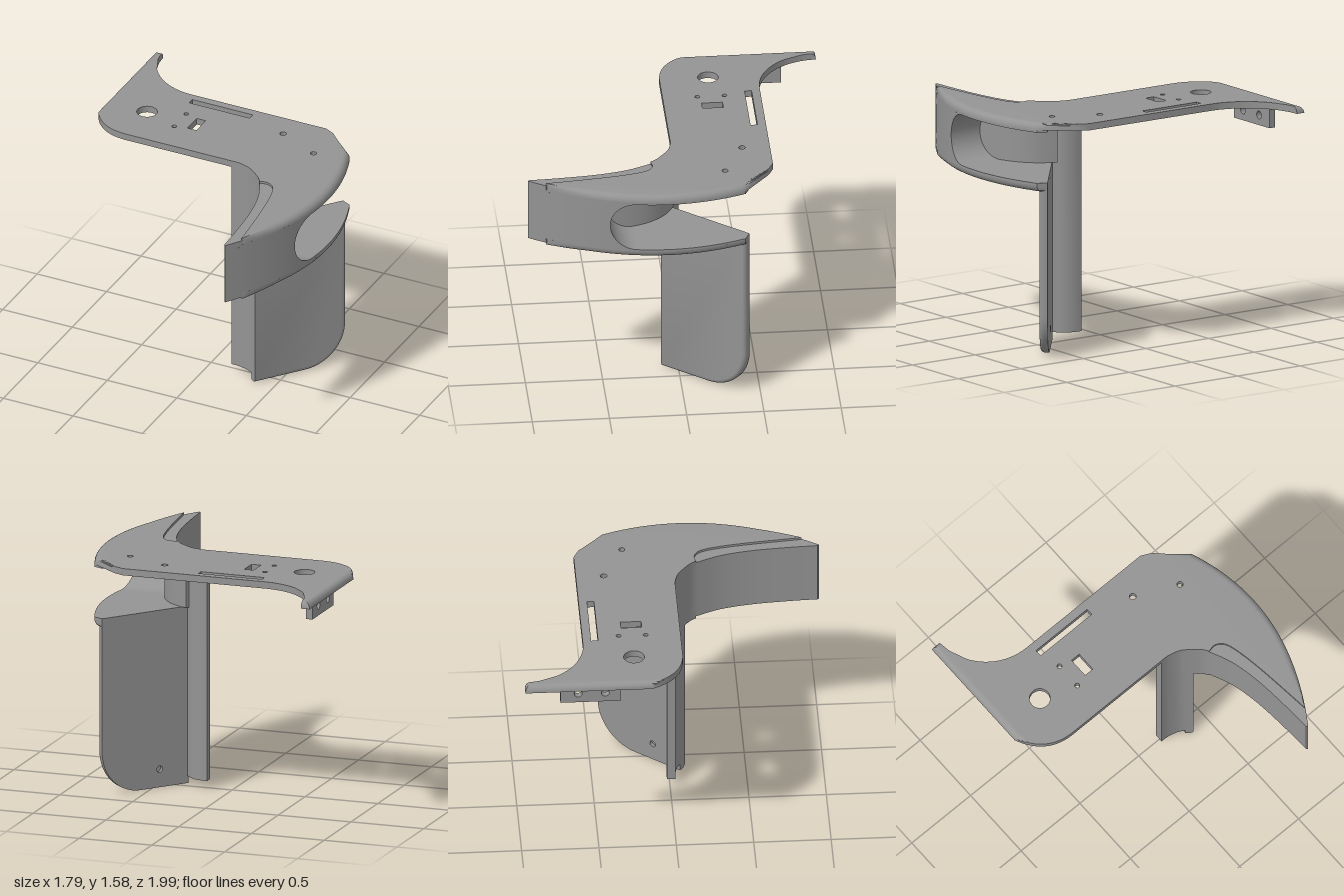
import * as THREE from 'three';
import { toCreasedNormals } from 'three/addons/utils/BufferGeometryUtils.js';

const grey = new THREE.MeshStandardMaterial({ color: 0x949494, side: THREE.DoubleSide });
grey.name = 'grey plastic';

const V = (x, z) => new THREE.Vector2(x, z);
const spline = (pts, n) => new THREE.SplineCurve(pts.map(p => V(...p))).getPoints(n);

// Plan curves, as x and z
const outerX = z => 0.895 - 0.385 * (z - 0.1) ** 2;
const outerCurve = (z0, z1, n = 40) =>
  Array.from({ length: n + 1 }, (_, i) => {
    const z = z0 + (z1 - z0) * i / n;
    return V(outerX(z), z);
  });
const postFront = spline([[0.165, 0.035], [0.22, 0.037], [0.3, 0.06], [0.37, 0.11]], 10);
const postToHorn = spline([[0.37, 0.11], [0.41, 0.145], [0.44, 0.185]], 4);
const hornInner = spline([[0.44, 0.185], [0.508, 0.345], [0.55, 0.55], [0.572, 0.8], [0.58, 0.98]], 20);
const recessEdge = spline([[0.44, 0.185], [0.5, 0.178], [0.555, 0.225], [0.59, 0.35], [0.62, 0.55], [0.655, 0.88]], 24);
const wallBack = spline([[0.3, 0.01], [0.38, 0.045], [0.46, 0.1], [0.53, 0.19], [0.575, 0.3], [0.605, 0.45], [0.62, 0.55]], 40);

function wallBackX(z) {
  const i = Math.max(1, wallBack.findIndex(p => p.y >= z));
  const a = wallBack[i - 1], b = wallBack[i];
  return a.x + (b.x - a.x) * (z - a.y) / (b.y - a.y);
}

function mesh(name, geo, crease = 0.6) {
  const m = new THREE.Mesh(toCreasedNormals(geo, crease), grey);
  m.name = name;
  return m;
}

// Upright prism over a plan outline; rule(v, t) may move vertices, t = 0 at the base
function slab(outline, y0, y1, { holes = [], rule = null, steps = 1 } = {}) {
  const flip = pts => pts.map(p => V(p.x, -p.y));
  const shape = new THREE.Shape(flip(outline));
  shape.holes = holes.map(h => new THREE.Path(flip(h)));
  const geo = new THREE.ExtrudeGeometry(shape, { depth: y1 - y0, bevelEnabled: false, steps });
  geo.rotateX(-Math.PI / 2).translate(0, y0, 0);
  if (rule) moveVertices(geo, v => rule(v, (v.y - y0) / (y1 - y0)));
  return geo;
}

function moveVertices(geo, rule) {
  const pos = geo.attributes.position, v = new THREE.Vector3();
  for (let i = 0; i < pos.count; i++) {
    v.fromBufferAttribute(pos, i);
    rule(v);
    pos.setXYZ(i, v.x, v.y, v.z);
  }
}

const circle = (x, z, r, n = 28) =>
  Array.from({ length: n }, (_, i) => V(x + r * Math.cos(i / n * 2 * Math.PI), z + r * Math.sin(i / n * 2 * Math.PI)));
const rect = (x0, x1, z0, z1) => [V(x0, z0), V(x1, z0), V(x1, z1), V(x0, z1)];

// Quarter-round inset along the outer edge, fading out at the horn tip
const R = 0.045;
const clampOuter = (v, inset) => {
  const fade = THREE.MathUtils.clamp((0.9 - v.z) / 0.3, 0, 1);
  if (v.z > -0.42) v.x = Math.min(v.x, outerX(v.z) - inset * fade);
};

function topPlate() {
  const earArc = new THREE.EllipseCurve(-0.44, -1, 0.4, 0.4, Math.PI, Math.PI / 2, true).getPoints(20);
  const frontCorner = new THREE.QuadraticBezierCurve(V(-0.6, 0.035), V(-0.81, 0.03), V(-0.9, -0.18)).getPoints(14);
  const outline = [
    V(-0.9, -1), ...earArc, V(0.53, -0.6), V(0.6, -0.565), ...outerCurve(-0.4, 0.87),
    ...recessEdge.slice().reverse(), ...postToHorn.slice(0, -1).reverse(),
    ...postFront.slice(0, -1).reverse(), ...frontCorner
  ];
  const holes = [
    circle(-0.6, -0.28, 0.067), rect(-0.405, 0.03, -0.545, -0.5), rect(-0.275, -0.21, -0.345, -0.21),
    circle(-0.36, -0.365, 0.016, 16), circle(-0.36, -0.19, 0.016, 16),
    circle(0.31, -0.42, 0.022, 16), circle(0.595, -0.285, 0.02, 16)
  ];
  return slab(outline, 1.53, 1.575, {
    holes, steps: 6, rule: (v, t) => {
      const a = t * Math.PI / 2, inset = R * (1 - Math.cos(a));
      v.y = 1.53 + R * Math.sin(a);
      v.x = Math.max(v.x, -0.9 + inset);
      v.z = Math.max(v.z, -1 + inset * 0.7);
      clampOuter(v, inset);
    }
  });
}

// Plan of the shelf between the grip blade and the outer curve
const shelfPlan = (inner, zEnd) => [
  V(0.735, -0.43), V(0.327, 0.075), ...postToHorn, ...inner.slice(1), ...outerCurve(zEnd, -0.4)
];

// Middle of the horn: solid tip with a round-ended slot that runs out to the back
function hornMiddle() {
  const y0 = 1.18, y1 = 1.514, r = (y1 - y0) / 2, rows = 24, pos = [];
  const layers = [];
  for (let j = 0; j <= rows; j++) {
    const a = Math.PI * (j / rows - 0.5), y = (y0 + y1) / 2 + r * Math.sin(a);
    const zEnd = 0.31 + 0.17 * Math.cos(a);
    const back = Array.from({ length: 21 }, (_, i) => {
      const z = zEnd + (0.02 - zEnd) * i / 20;
      return V(wallBackX(z), z);
    });
    const plan = [V(0.3, 0.06), ...postToHorn, ...hornInner.slice(1), ...outerCurve(0.99, zEnd, 24), ...back];
    layers.push(plan.map(p => [p.x, y, p.y]));
  }
  const n = layers[0].length;
  for (let j = 0; j < rows; j++) {
    for (let i = 0; i < n; i++) {
      const k = (i + 1) % n;
      const a = layers[j][i], b = layers[j][k], c = layers[j + 1][k], d = layers[j + 1][i];
      pos.push(...a, ...b, ...c, ...a, ...c, ...d);
    }
  }
  const geo = new THREE.BufferGeometry();
  geo.setAttribute('position', new THREE.Float32BufferAttribute(pos, 3));
  return geo;
}

// Flat grip blade with a large rounded lower corner and a softened outer edge
function gripBlade() {
  const L = 0.65, C = 0.29, f = 0.03, group = new THREE.Group();
  const profile = () => {
    const s = new THREE.Shape();
    s.moveTo(0, 0).lineTo(L - C, 0).absarc(L - C, C, C, -Math.PI / 2, 0, false).lineTo(L, 1.13).lineTo(0, 1.13);
    return s;
  };
  const inner = profile();
  inner.holes.push(new THREE.Path(circle(0.217, 0.12, 0.022, 20)));
  const opts = { bevelEnabled: false, curveSegments: 20 };
  group.add(mesh('bladeInside', new THREE.ExtrudeGeometry(inner, { ...opts, depth: 0.025 })));
  const outer = new THREE.ExtrudeGeometry(profile(), { ...opts, depth: f, steps: 5 });
  moveVertices(outer, v => {
    const a = v.z / f * Math.PI / 2, inset = f * (1 - Math.cos(a));
    v.z = 0.025 + f * Math.sin(a);
    v.x = Math.min(v.x, L - inset);
    v.y = Math.max(v.y, inset);
    const dx = v.x - (L - C), dy = v.y - C, d = Math.hypot(dx, dy);
    if (dx > 0 && dy < 0 && d > C - inset) {
      v.x = L - C + dx / d * (C - inset);
      v.y = C + dy / d * (C - inset);
    }
  });
  group.add(mesh('bladeOutside', outer));
  group.name = 'gripBlade';
  group.position.set(0.327, 0, 0.075);
  group.rotation.y = Math.atan2(0.78, 0.63);
  return group;
}

// Hanging tab with two cross holes
function tab() {
  const s = new THREE.Shape([V(0.38, 1.4), V(0.77, 1.4), V(0.77, 1.53), V(0.38, 1.53)]);
  s.holes = [0.48, 0.655].map(z => new THREE.Path(circle(z, 1.467, 0.026)));
  return new THREE.ExtrudeGeometry(s, { depth: 0.045, bevelEnabled: false }).rotateY(Math.PI / 2).translate(-0.835, 0, 0);
}

export function createModel() {
  const model = new THREE.Group();
  model.name = 'bracketWithGrip';
  model.add(mesh('topPlate', topPlate()));

  // Lower shelf with a rounded bottom edge
  model.add(mesh('lowerShelf', slab(shelfPlan(recessEdge, 0.87), 1.12, 1.165, {
    steps: 6, rule: (v, t) => {
      const a = (1 - t) * Math.PI / 2;
      v.y = 1.165 - R * Math.sin(a);
      clampOuter(v, R * (1 - Math.cos(a)));
    }
  })));

  // Flanges above and below the slot
  const fullPlan = shelfPlan(hornInner, 0.99);
  model.add(mesh('lowerFlange', slab(fullPlan, 1.165, 1.18)));
  model.add(mesh('upperFlange', slab(fullPlan, 1.514, 1.53)));
  model.add(mesh('hornMiddle', hornMiddle()));

  // Stepped lips along the inner edge of the horn
  const lipPlan = [...hornInner, ...outerCurve(0.99, 0.88, 6), ...recessEdge.slice(1, -1).reverse()];
  model.add(mesh('upperLip', slab(lipPlan, 1.53, 1.56)));
  model.add(mesh('lowerLip', slab(lipPlan, 1.135, 1.165)));

  // Curved post beside the blade
  const postBack = spline([[0.327, 0.06], [0.28, 0.01], [0.22, -0.016], [0.165, -0.02]], 8);
  model.add(mesh('post', slab([...postFront, ...postBack], 0.05, 1.53)));
  model.add(gripBlade());
  model.add(mesh('tab', tab()));
  return model;
}
